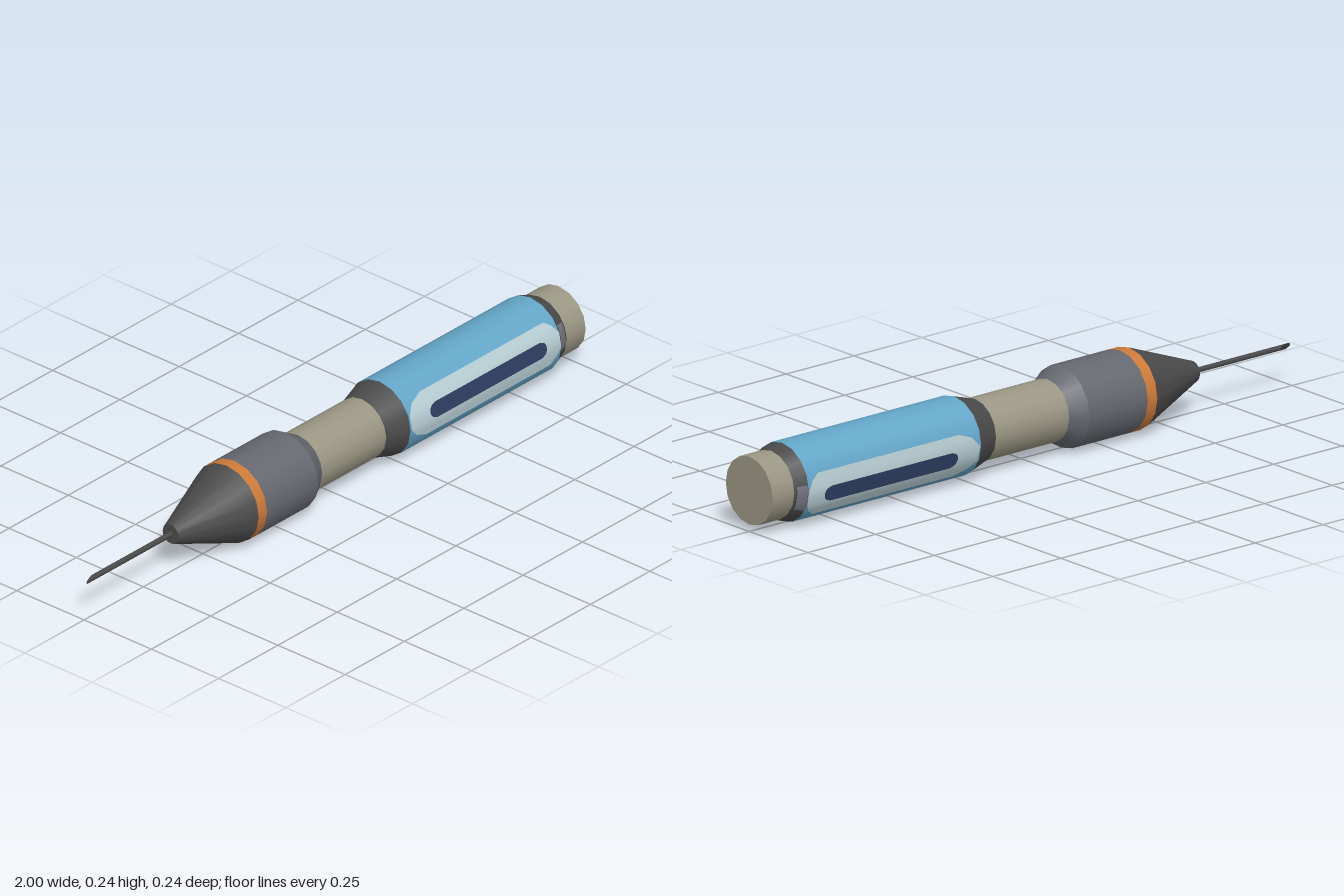
import * as THREE from 'three';

const SIDES = 16, AXIS_Y = 0.12;
const rad = THREE.MathUtils.degToRad;

function material(name, color, side = THREE.FrontSide) {
  const m = new THREE.MeshStandardMaterial({ color, side });
  m.name = name;
  return m;
}

// Round section along x, from x0 (radius r0) to x1 (radius r1)
function section(name, x0, r0, x1, r1, mat, sides = SIDES) {
  const g = new THREE.CylinderGeometry(r1, r0, x1 - x0, sides);
  g.rotateZ(-Math.PI / 2).translate((x0 + x1) / 2, 0, 0);
  const mesh = new THREE.Mesh(g, mat);
  mesh.name = name;
  return mesh;
}

// Distance from the axis to the faceted wall, as a share of the corner radius
function facet(deg) {
  const step = 360 / SIDES;
  const local = ((deg % step) + step) % step - step / 2;
  return Math.cos(rad(step / 2)) / Math.cos(rad(local));
}

// Thin plate hugging the wall; rows are [angle above the front, x start, x end]
function plate(name, rows, radiusAt, mat) {
  const pos = [], idx = [];
  rows.forEach(([deg, x0, x1], i) => {
    for (const x of [x0, x1]) {
      const r = radiusAt(x) * facet(deg);
      pos.push(x, r * Math.sin(rad(deg)), r * Math.cos(rad(deg)));
    }
    if (i) {
      const a = 2 * i - 2;
      idx.push(a, a + 1, a + 3, a, a + 3, a + 2);
    }
  });
  const g = new THREE.BufferGeometry();
  g.setAttribute('position', new THREE.Float32BufferAttribute(pos, 3));
  g.setIndex(idx);
  g.computeVertexNormals();
  const mesh = new THREE.Mesh(g, mat);
  mesh.name = name;
  return mesh;
}

export function createModel() {
  const beige = material('beige', 0x9b9784);
  const dark = material('charcoal', 0x4a4a4a);
  const grey = material('slate grey', 0x666870);
  const orange = material('orange', 0xcc7a38);
  const blue = material('sky blue', 0x64a6c8);
  const pale = material('pale blue', 0xb9d0d5, THREE.DoubleSide);
  const navy = material('navy', 0x2e3f62, THREE.DoubleSide);
  const patchGrey = material('patch grey', 0x74757e, THREE.DoubleSide);

  const group = new THREE.Group();
  group.name = 'injector';

  // Needle with a slanted tip
  const needle = section('needle', -1, 0.008, -0.62, 0.008, dark, 8);
  const p = needle.geometry.attributes.position;
  for (let i = 0; i < p.count; i++) {
    if (p.getX(i) < -0.9) p.setX(i, -1 + 0.05 * (0.008 - p.getZ(i)) / 0.016);
  }
  group.add(needle);

  // Body from nose to end cap
  group.add(
    section('noseCone', -0.635, 0.03, -0.4, 0.12, dark),
    section('orangeBand', -0.4, 0.12, -0.365, 0.12, orange),
    section('frontBarrel', -0.365, 0.12, -0.15, 0.12, grey),
    section('barrelTaper', -0.15, 0.12, -0.1, 0.091, grey),
    section('neck', -0.11, 0.091, 0.18, 0.091, beige),
    section('frontCollar', 0.17, 0.092, 0.245, 0.115, dark),
    section('grip', 0.245, 0.115, 0.88, 0.115, blue),
    section('rearCollar', 0.88, 0.115, 0.92, 0.1, dark),
    section('endCap', 0.915, 0.1, 1, 0.1, beige)
  );

  // Label, window and collar patches, on the front and turned half round
  const labelRows = [
    [-22.5, 0.32, 0.84], [-14, 0.275, 0.862], [0, 0.25, 0.879], [11.25, 0.25, 0.879],
    [22.5, 0.25, 0.879], [36, 0.275, 0.862], [45, 0.32, 0.84]
  ];
  const windowRows = [];
  for (let i = 0; i <= 8; i++) {
    const t = i / 4 - 1;
    const inset = 0.024 * (1 - Math.sqrt(1 - t * t));
    windowRows.push([11.25 + 11.5 * t, 0.33 + inset, 0.82 - inset]);
  }
  const patchRows = [-9, 0, 11.25, 22.5, 32].map((d) => [d, 0.882, 0.912]);
  for (const [name, turn] of [['front', 0], ['back', Math.PI]]) {
    const side = new THREE.Group();
    side.name = name + 'Markings';
    side.add(
      plate('label', labelRows, () => 0.1165, pale),
      plate('window', windowRows, () => 0.1185, navy),
      plate('collarPatch', patchRows, (x) => 0.1165 - (x - 0.88) * 0.375, patchGrey)
    );
    side.rotation.x = turn;
    group.add(side);
  }

  group.children.forEach((c) => { c.position.y = AXIS_Y; });
  return group;
}
